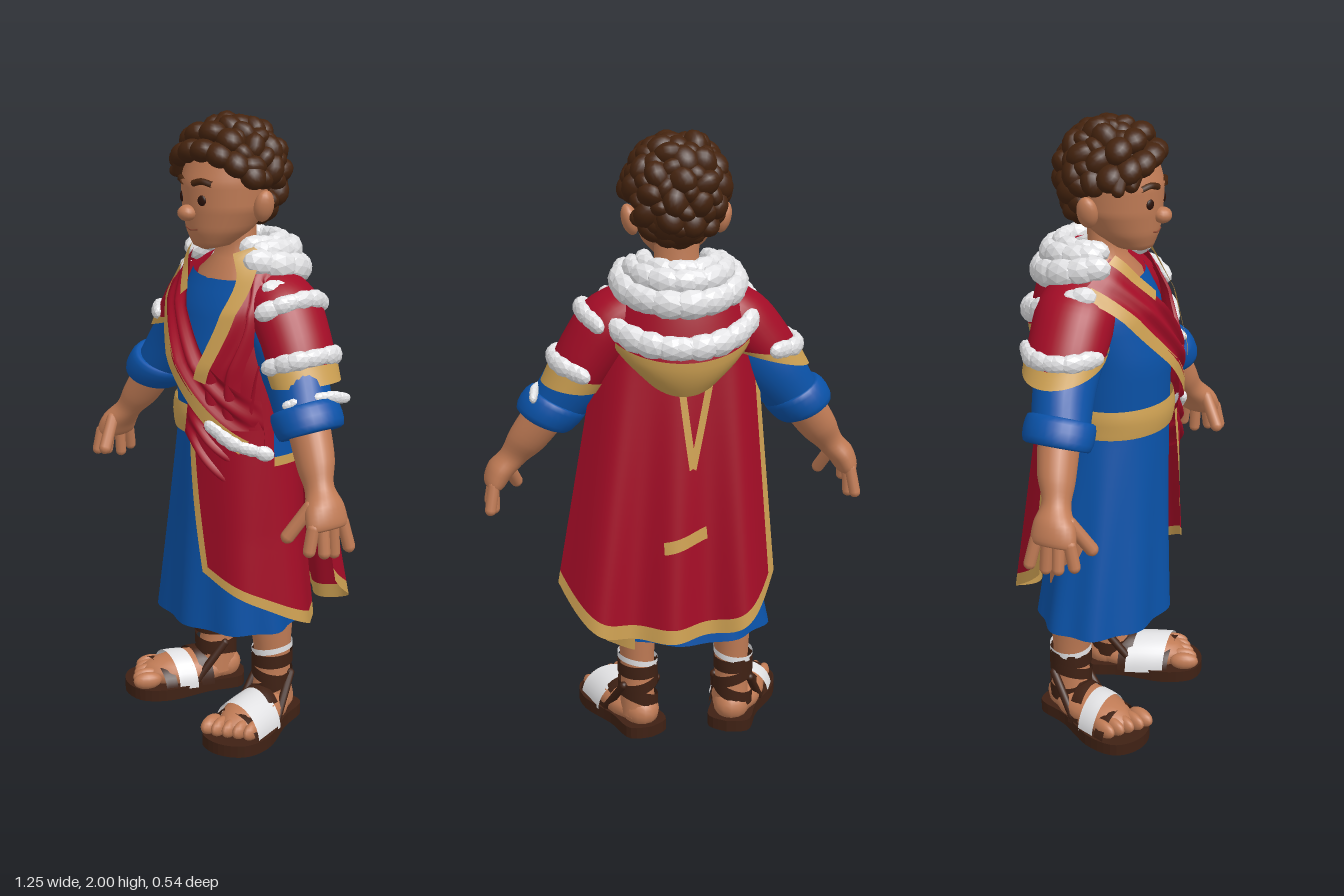
import * as THREE from 'three';
import { mergeVertices } from 'three/addons/utils/BufferGeometryUtils.js';

const mat = (name, color) => new THREE.MeshStandardMaterial({ name, color, side: THREE.DoubleSide });
const V = (x, y, z = 0) => new THREE.Vector3(x, y, z);
const curve = pts => new THREE.CatmullRomCurve3(pts.map(p => V(...p)));
const lerp = THREE.MathUtils.lerp;

// Smooth surface from a rule f(u, v) over a window of u and v
function sheet(f, nu = 32, nv = 12, [u0, u1, v0, v1] = [0, 1, 0, 1]) {
  const pos = [], idx = [];
  for (let j = 0; j <= nv; j++) for (let i = 0; i <= nu; i++) {
    pos.push(...f(lerp(u0, u1, i / nu), lerp(v0, v1, j / nv)));
    if (i < nu && j < nv) {
      const a = j * (nu + 1) + i, b = a + nu + 1;
      idx.push(a, a + 1, b, a + 1, b + 1, b);
    }
  }
  let g = new THREE.BufferGeometry();
  g.setAttribute('position', new THREE.Float32BufferAttribute(pos, 3));
  g.setIndex(idx);
  g = mergeVertices(g, 1e-5);
  g.computeVertexNormals();
  return g;
}

// Oval rings, each [ax, ay, bx, by, zCentre, zHalf], joined smoothly; s mirrors in x
function ringRule(rings, s = 1, grow = 0) {
  const A = curve(rings.map(r => [r[0], r[1], r[4]])), B = curve(rings.map(r => [r[2], r[3], r[5]]));
  return (u, v) => {
    const a = A.getPoint(v), b = B.getPoint(v), t = u * Math.PI * 2, c = Math.cos(t) * (1 + grow * 8);
    return [s * ((a.x + b.x) / 2 + (a.x - b.x) / 2 * c), (a.y + b.y) / 2 + (a.y - b.y) / 2 * c,
      a.z + (b.z + grow) * Math.sin(t)];
  };
}

// Oval sections [y, xCentre, zCentre, xRadius, zRadius]
function section(rows, y) {
  let i = 0;
  while (i < rows.length - 2 && y > rows[i + 1][0]) i++;
  const t = THREE.MathUtils.clamp((y - rows[i][0]) / (rows[i + 1][0] - rows[i][0]), 0, 1);
  return rows[i].map((n, k) => lerp(n, rows[i + 1][k], t));
}
function around(rows, a, y, off = 0) {
  const [, cx, cz, rx, rz] = section(rows, y);
  return [cx + (rx + off) * Math.sin(a), y, cz + (rz + off) * Math.cos(a)];
}
function onFront(rows, x, y, off = 0) {
  const [, cx, cz, rx, rz] = section(rows, y);
  const u = THREE.MathUtils.clamp((x - cx) / (rx + off), -0.97, 0.97);
  return [x, y, cz + (rz + off) * Math.sqrt(1 - u * u)];
}

const BODY = [[.36, -.035, .015, .275, .205], [.7, -.01, .025, .23, .18], [1.05, .02, .03, .19, .165],
  [1.25, .015, .035, .2, .165], [1.42, 0, .01, .22, .145], [1.52, 0, -.015, .19, .115], [1.6, 0, -.01, .11, .085]];
const HEAD = [[1.592, 0, .11, .015, .02], [1.605, 0, .095, .06, .06], [1.65, 0, .066, .1, .106], [1.72, 0, .04, .13, .14],
  [1.8, 0, .032, .137, .152], [1.88, 0, .02, .13, .14], [1.95, 0, .01, .07, .08]];

export function createModel() {
  const root = new THREE.Group();
  const red = mat('crimson cloth', 0xa30c26), blue = mat('blue cloth', 0x0a52a8), gold = mat('gold trim', 0xcda052),
    skin = mat('skin', 0xc07b55), hair = mat('brown hair', 0x44230e), fur = mat('white fur', 0xe2e2e4),
    leather = mat('dark leather', 0x3f2114), dark = mat('eye brown', 0x2a120a), lip = mat('lip brown', 0x8f4d36);
  const add = (name, geo, m, parent = root) => {
    const mesh = new THREE.Mesh(geo, m);
    mesh.name = name;
    parent.add(mesh);
    return mesh;
  };
  const blob = (name, p, r, m, parent = root) => {
    const o = add(name, new THREE.SphereGeometry(1, 14, 10), m, parent);
    o.position.set(...p);
    o.scale.set(...r);
    return o;
  };
  const limb = (name, a, b, r, m, parent = root) => {
    const p = V(...a), d = V(...b).sub(p), o = add(name, new THREE.CapsuleGeometry(r, d.length(), 4, 10), m, parent);
    o.position.copy(p).addScaledVector(d, .5);
    o.quaternion.setFromUnitVectors(V(0, 1, 0), d.normalize());
    return o;
  };
  // Flattened, faceted chunks of fur overlapping along a path
  const furRoll = (name, pts, r, flat = .75) => {
    const c = curve(pts), n = Math.max(4, Math.round(c.getLength() / (r * .8)));
    for (let i = 0; i <= n; i++) {
      const t = c.getTangent(i / n), g = new THREE.IcosahedronGeometry(r * (1 + .15 * Math.sin(i * 2.7)), 1);
      g.rotateX(i * 1.3).rotateZ(i * .9).scale(flat, 1, 1.4).computeVertexNormals();
      const o = add(name, g, fur);
      o.position.copy(c.getPoint(i / n));
      o.lookAt(o.position.clone().add(t));
    }
  };
  // Cloth strip lying on the front of the body
  const ribbon = (name, pts, w, off) => {
    const c = curve(pts);
    add(name, sheet((u, v) => {
      const p = c.getPoint(u), t = c.getTangent(u), k = (v - .5) * w;
      return onFront(BODY, p.x - t.y * k, p.y + t.x * k, off);
    }, 28, 2), gold);
  };
  const drape = (name, lower, upper, off) => {
    const L = curve(lower), U = curve(upper);
    add(name, sheet((u, v) => {
      const p = L.getPoint(u).lerp(U.getPoint(u), v);
      return onFront(BODY, p.x, p.y, off + .012 * Math.sin(v * 14) * Math.sin(u * Math.PI));
    }, 32, 20), red);
  };

  // Tunic with a red front lining, belt and neck
  add('tunic', sheet((u, v) => {
    const a = u * Math.PI * 2, y = lerp(.36, 1.53 - .03 * Math.cos(a), v);
    return around(BODY, a, y, .009 * Math.sin(a * 9) * Math.max(0, 1 - v * 1.8));
  }, 80, 30), blue);
  const lining = (u, v) => around(BODY, lerp(-1.3, 1.5, u), lerp(.375, .7, v), -.016);
  add('lining', sheet(lining, 32, 8, [0, 1, .08, 1]), red);
  add('liningHem', sheet(lining, 32, 2, [0, 1, 0, .08]), gold);
  add('belt', sheet((u, v) => around(BODY, u * Math.PI * 2, 1.015 + .095 * v, .01 + .008 * Math.sin(v * Math.PI)), 48, 6), gold);
  const neck = add('neck', new THREE.LatheGeometry([[.17, 1.42], [.14, 1.51], [.085, 1.56], [.07, 1.61], [.072, 1.7]].map(p => new THREE.Vector2(...p)), 28), skin);
  neck.scale.z = .78;

  // Robe wrapped over the left side and its hanging front panel
  const robe = (u, v) => around(BODY, lerp(.9, 2.7, u), lerp(.98, 1.48, v), .022 + .03 * Math.sin(u * Math.PI) * (1 - v));
  add('robeSide', sheet(robe, 24, 12), red);
  const panel = (u, v) => {
    const a = lerp(.13 + .37 * v, 2.5, u), y = lerp(1.06, lerp(.58, .36, Math.min(1, u * 1.25)), v);
    return around(BODY, a, y, .022 + (.025 + .02 * v) * Math.max(0, Math.sin(a)) + .008 * v * Math.sin(a * 8));
  };
  add('robePanel', sheet(panel, 40, 20, [.045, 1, 0, .935]), red);
  add('robePanelEdge', sheet(panel, 3, 20, [0, .045, 0, 1]), gold);
  add('robePanelHem', sheet(panel, 40, 3, [.045, 1, .935, 1]), gold);
  // Side slit showing the tunic above a gold edge
  const slit = y0 => (u, v) => around(BODY, lerp(1.45, 2.15, u), lerp(y0, y0 + .03, v), .064);
  add('slitEdge', sheet(slit(.945), 12, 2), gold);
  add('slit', sheet(slit(.975), 12, 6, [0, 1, 0, 5]), blue);
  drape('chestSash', [[-.24, 1.5], [-.12, 1.36], [.02, 1.21], [.16, 1.07], [.26, .97]],
    [[-.12, 1.59], [-.03, 1.47], [.06, 1.36], [.15, 1.25], [.24, 1.15]], .035);
  drape('leftLapel', [[.14, 1.58], [.17, 1.4], [.12, 1.2], [.12, 1.08]], [[.2, 1.53], [.25, 1.4], [.24, 1.2], [.22, 1.05]], .03);
  drape('hipFold', [[.04, 1.03], [.13, .93], [.24, .83]], [[.06, 1.15], [.16, 1.06], [.25, 1.0]], .036);
  ribbon('sashLowerTrim', [[-.23, 1.51], [-.12, 1.36], [.02, 1.21], [.16, 1.07], [.25, .98]], .04, .046);
  ribbon('sashUpperTrim', [[-.13, 1.59], [-.09, 1.53], [-.03, 1.46]], .035, .05);
  ribbon('lapelTrim', [[.13, 1.6], [.175, 1.52], [.17, 1.4], [.12, 1.21]], .042, .052);
  furRoll('sashFur', [[.15, 1.065], [.2, 1.02], [.25, .985]].map(p => onFront(BODY, ...p, .042)), .022);

  // Back cape: u runs from the right edge to the left edge, v from shoulders to hem
  const cape = (u, v) => {
    const k = u * 2 - 1, e = k ** 4, w = lerp(.24, .355, v);
    return [.045 * v + w * k, lerp(1.44, .405 + .165 * e, v),
      lerp(-.13, -.238, v) + e * lerp(.09, .12, v) - .028 * v * Math.cos(k * 9)];
  };
  add('cape', sheet(cape, 64, 24, [.03, 1, 0, .955]), red);
  add('capeHem', sheet(cape, 64, 3, [0, 1, .955, 1]), gold);
  add('capeRightEdge', sheet(cape, 2, 24, [0, .03, 0, .955]), gold);
  const capeMark = (name, from, to) => add(name, sheet((u, v) => {
    const dx = to[0] - from[0], dy = to[1] - from[1], l = Math.hypot(dx, dy), k = (v - .5) * .04;
    const p = cape(lerp(from[0], to[0], u) - dy / l * k, lerp(from[1], to[1], u) + dx / l * k);
    return [p[0], p[1], p[2] - .007];
  }, 16, 2), gold);
  capeMark('capeChevron', [.32, .18], [.42, .45]);
  capeMark('capeChevron', [.5, .18], [.42, .45]);
  capeMark('capeBar', [.34, .66], [.56, .695]);

  // Hood lying on the back, with broad fur layers and a gold lip
  const hood = (u, v) => {
    const a = (u * 2 - 1) * 2.05, b = Math.max(0, (Math.cos(a) + .46) / 1.46);
    return [lerp(.1, .245, v) * Math.sin(a), lerp(1.6, 1.475, v) - b * .14 * v ** 1.6 + .035 * Math.sin(v * Math.PI),
      -.035 - lerp(.07, .205, Math.sqrt(v)) * Math.cos(a)];
  };
  add('hood', sheet(hood, 48, 16), red);
  add('hoodLip', sheet((u, v) => {
    const p = hood(u, 1), c = Math.sin(u * Math.PI);
    return [p[0] * (1 - .3 * v * v), p[1] - .12 * v * c, p[2] + .045 * v * v * c];
  }, 48, 5), gold);
  for (const [v, r, n] of [[.08, .036, .02], [.3, .04, .06], [.56, .042, .02], [.9, .038, .05]])
    furRoll('hoodFur', Array.from({ length: 13 }, (_, i) => hood(lerp(n, 1 - n, i / 12), v)), r, .8);

  // Arms, sleeves and shoulder capes
  for (const s of [-1, 1]) {
    const side = s < 0 ? 'right' : 'left';
    const shoulder = s < 0
      ? [[.1, 1.57, .03, 1.44, -.03, .09], [.26, 1.49, .08, 1.37, -.02, .125], [.345, 1.39, .1, 1.345, -.015, .125], [.42, 1.26, .13, 1.34, -.01, .12]]
      : [[.1, 1.57, .03, 1.44, -.03, .09], [.28, 1.49, .12, 1.37, -.025, .12], [.36, 1.38, .19, 1.28, -.02, .118], [.43, 1.23, .25, 1.2, -.01, .112]];
    const rule = ringRule(shoulder, s), hem = ringRule(shoulder, s, .004);
    add(side + 'ShoulderCape', sheet(rule, 36, 16), red);
    add(side + 'ShoulderTrim', sheet(hem, 36, 3, [0, 1, .88, 1]), gold);
    const band = (v, r, reach) => furRoll(side + 'ShoulderFur', [-1, -.5, 0, .5, 1].map(u => rule(u * reach, v)), r);
    band(.83, .028, s < 0 ? .18 : .23);
    if (s > 0) {
      band(.42, .028, .16);
      furRoll('sleeveFur', [[.46, 1.19, -.06], [.45, 1.2, 0], [.4, 1.18, .1]], .017);
    }
    add(side + 'Sleeve', sheet(ringRule([[.24, 1.46, .12, 1.3, 0, .1], [.39, 1.3, .22, 1.18, .005, .095], [.47, 1.16, .32, 1.08, .03, .09]], s), 28, 10), blue);
    add(side + 'Cuff', sheet(ringRule([[.43, 1.18, .33, 1.13, .025, .07], [.465, 1.2, .29, 1.11, .028, .105],
      [.51, 1.13, .345, 1.05, .035, .105], [.46, 1.1, .38, 1.07, .04, .06]], s), 28, 12), blue);
    add(side + 'Forearm', sheet(ringRule([[.47, 1.15, .35, 1.08, .035, .065], [.535, 1.04, .43, .98, .06, .058], [.565, .97, .485, .93, .08, .045],
      [.607, .92, .53, .88, .095, .068], [.622, .86, .56, .84, .1, .07], [.6, .845, .58, .84, .1, .04]], s), 24, 24), skin);
    for (let i = 0; i < 4; i++) {
      const z = .045 + i * .037;
      limb(side + 'Finger', [s * .592, .86, z], [s * (.606 - .012 * (i % 2)), .77 + .012 * Math.abs(i - 1), z + (i - 1.5) * .01], .019, skin);
    }
    limb(side + 'Thumb', [s * .55, .91, .135], [s * .515, .82, .19], .021, skin);

    // Leg and sandalled foot
    const x = s < 0 ? -.18 : .14;
    add(side + 'Leg', sheet(ringRule([[x + .085, .7, x - .085, .7, -.02, .09], [x + .065, .4, x - .065, .4, -.035, .08],
      [x + .055, .2, x - .055, .2, -.045, .06], [x + .06, .06, x - .06, .06, -.04, .08]]), 24, 14), skin);
    const foot = new THREE.Group();
    foot.name = side + 'Foot';
    foot.position.set(x - .008 * (1 - s) / 2, 0, -.04);
    foot.rotation.y = s * .36;
    root.add(foot);
    const outline = new THREE.Shape();
    outline.setFromPoints(new THREE.SplineCurve([[0, -.105], [.07, -.075], [.08, .04], [.112, .18], [.085, .28], [0, .318], [-.085, .285],
      [-.108, .18], [-.075, .04], [-.07, -.075], [0, -.105]].map(p => new THREE.Vector2(p[0], -p[1]))).getPoints(44));
    const sole = new THREE.ExtrudeGeometry(outline, { depth: .04, bevelEnabled: false });
    add('sole', sole.rotateX(-Math.PI / 2), leather, foot);
    blob('footTop', [0, .065, .1], [.088, .06, .17], skin, foot);
    blob('heel', [0, .07, -.02], [.062, .06, .072], skin, foot);
    for (let i = 0; i < 5; i++)
      blob('toe', [s * (-.068 + i * .034), .064, .262 - i * .011 - (i ? 0 : .006)], [i ? .021 : .026, .03, .05], skin, foot);
    const strap = (name, z, r, h, w, m) => add(name, sheet((u, v) => {
      const a = u * Math.PI, k = v - .5;
      return [r * Math.cos(a), .03 + (h - .01 * k * k) * Math.sin(a), z + w * k + .025 * s * Math.cos(a)];
    }, 18, 4), m, foot);
    strap('toeStrap', .2, .1, .078, .04, leather);
    strap('furStrap', .14, .1, .102, s > 0 ? .13 : .065, fur);
    strap('instepStrap', .07, .088, .112, .045, leather);
    for (const [y, h, tilt, m] of [[.1, .05, .03, leather], [.155, .04, -.02, leather], [.205, .045, 0, leather], [.25, .02, .012, fur]])
      add('ankleStrap', sheet((u, v) => {
        const a = u * Math.PI * 2;
        return [.066 * Math.sin(a), y + h * v + tilt * Math.sin(a), -.004 + .074 * Math.cos(a)];
      }, 28, 2), m, foot);
    for (const k of [-1, 1]) limb('sideStrap', [k * .075, .05, .08], [k * .062, .17, -.02], .014, leather, foot);

    // Ears, eyes and brows
    blob(side + 'Ear', [s * .145, 1.73, .005], [.026, .05, .034], skin).rotation.z = -s * .25;
    const eye = blob(side + 'Eye', onFront(HEAD, s * .053, 1.75, 0), [.015, .016, .006], dark);
    eye.rotation.y = s * .38;
    const brow = [.025, .055, .085].map((bx, i) => onFront(HEAD, s * bx, 1.8 + (i === 1 ? .008 : 0), .002));
    add(side + 'Brow', new THREE.TubeGeometry(curve(brow), 10, .01, 6), hair);
  }

  // Face
  add('head', sheet((u, v) => around(HEAD, u * Math.PI * 2, lerp(1.592, 1.95, v)), 36, 28), skin);
  blob('nose', [0, 1.708, .188], [.03, .025, .029], skin);
  add('mouth', new THREE.TubeGeometry(curve([-.03, 0, .03].map(x => onFront(HEAD, x, 1.655 + Math.abs(x) * .15, 0))), 10, .003, 6), lip);

  // Curly hair with a full front swept to the right
  blob('hairCap', [0, 1.835, -.005], [.145, .135, .135], hair);
  blob('hairBack', [0, 1.76, -.045], [.125, .11, .085], hair);
  for (let i = 0; i < 110; i++) {
    const h = 1 - 2 * (i + .5) / 110, r = Math.sqrt(1 - h * h), a = i * 2.39996;
    const p = [.138 * r * Math.cos(a), 1.815 + .148 * h, .005 + .126 * r * Math.sin(a)];
    if (p[1] < 1.672 || (p[2] > -.03 && p[1] < 1.8) || (p[2] > .06 && p[1] < 1.87)) continue;
    const q = .039 + .006 * Math.sin(i * 5.1);
    blob('curl', p, [q * 1.15, q * .85, q], hair).rotation.set(i, i * .7, i * 1.9);
  }
  for (const [x, y, z, t] of [[-.145, 1.84, .08, .8], [-.115, 1.86, .125, .8], [-.07, 1.875, .15, .6], [-.02, 1.89, .156, .4],
    [.03, 1.895, .147, .1], [.08, 1.885, .125, -.4], [.12, 1.86, .09, -.7], [.142, 1.825, .045, -.9],
    [-.11, 1.915, .09, .7], [-.05, 1.935, .11, .4], [.02, 1.945, .105, .1], [.08, 1.925, .085, -.4]])
    blob('fringe', [x, y, z], [.046, .036, .042], hair).rotation.z = t;
  limb('strayLock', [-.13, 1.85, .11], [-.168, 1.812, .115], .02, hair);
  limb('foreheadLock', [-.09, 1.87, .145], [-.115, 1.82, .135], .024, hair);
  return root;
}
